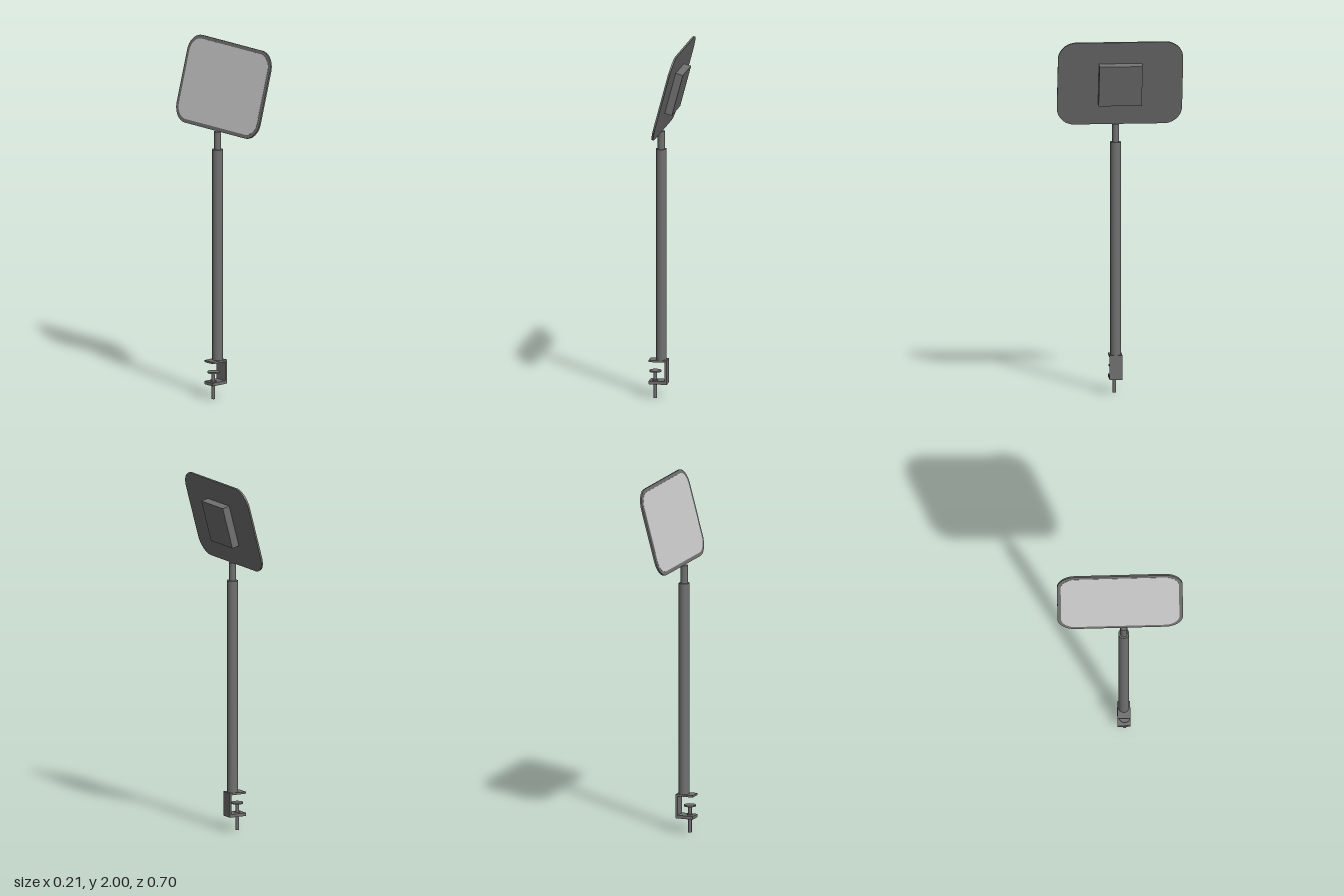
import * as THREE from 'three';

const lightGrey = new THREE.MeshStandardMaterial({ color: 0xcccccc });
const darkGrey = new THREE.MeshStandardMaterial({ color: 0x707070 });

function add(parent, name, geometry, x = 0, y = 0, z = 0, material = darkGrey) {
  const mesh = new THREE.Mesh(geometry, material);
  mesh.name = name;
  mesh.position.set(x, y, z);
  parent.add(mesh);
}

// Upright cylinder given by its bottom and top heights
function rod(parent, name, radius, y0, y1, x, z) {
  add(parent, name, new THREE.CylinderGeometry(radius, radius, y1 - y0, 32), x, (y0 + y1) / 2, z);
}

// Rounded rectangle plate lying in the YZ plane, centred, thickness along x
function roundedPlate(width, height, radius, thickness) {
  const w = width / 2, h = height / 2;
  const s = new THREE.Shape();
  s.moveTo(-w + radius, -h);
  s.lineTo(w - radius, -h);
  s.absarc(w - radius, -h + radius, radius, -Math.PI / 2, 0);
  s.absarc(w - radius, h - radius, radius, 0, Math.PI / 2);
  s.absarc(-w + radius, h - radius, radius, Math.PI / 2, Math.PI);
  s.absarc(-w + radius, -h + radius, radius, Math.PI, Math.PI * 1.5);
  const g = new THREE.ExtrudeGeometry(s, { depth: thickness, bevelEnabled: false, curveSegments: 16 });
  g.translate(0, 0, -thickness / 2);
  return g.rotateY(Math.PI / 2);
}

export function createModel() {
  const model = new THREE.Group();
  model.name = 'clampStandDisplay';
  const poleX = -0.037, poleZ = 0.019;

  // C-shaped table clamp
  const clamp = new THREE.Group();
  clamp.name = 'clamp';
  model.add(clamp);
  const profile = new THREE.Shape([
    [-0.102, 0.082], [0, 0.082], [0, 0.219], [-0.102, 0.219],
    [-0.102, 0.208], [-0.011, 0.208], [-0.011, 0.1], [-0.102, 0.1],
  ].map(([x, y]) => new THREE.Vector2(x, y)));
  add(clamp, 'clampBracket',
    new THREE.ExtrudeGeometry(profile, { depth: 0.072, bevelEnabled: false }), 0, 0, poleZ - 0.036);

  // Clamp screw with its collar and pressure pad
  const screwX = -0.07, screwZ = 0.023;
  rod(clamp, 'clampScrew', 0.01, 0, 0.153, screwX, screwZ);
  rod(clamp, 'screwCollar', 0.016, 0.098, 0.105, screwX, screwZ);
  rod(clamp, 'pressurePad', 0.033, 0.149, 0.157, screwX, screwZ);

  // Telescopic pole
  rod(model, 'outerPole', 0.03, 0.219, 1.417, poleX, poleZ);
  rod(model, 'innerPole', 0.02, 1.417, 1.518, poleX, poleZ);

  // Tilted display: the screen faces -x, the housing sits on +x
  const display = new THREE.Group();
  display.name = 'display';
  display.position.set(0.028, 1.759, 0);
  display.rotation.z = -Math.PI / 12;
  model.add(display);
  add(display, 'displayPanel', roundedPlate(0.696, 0.496, 0.1, 0.01));
  add(display, 'screen', roundedPlate(0.656, 0.456, 0.08, 0.002), -0.005, 0, 0, lightGrey);
  add(display, 'rearHousing', new THREE.BoxGeometry(0.044, 0.24, 0.24), 0.025);

  return model;
}
